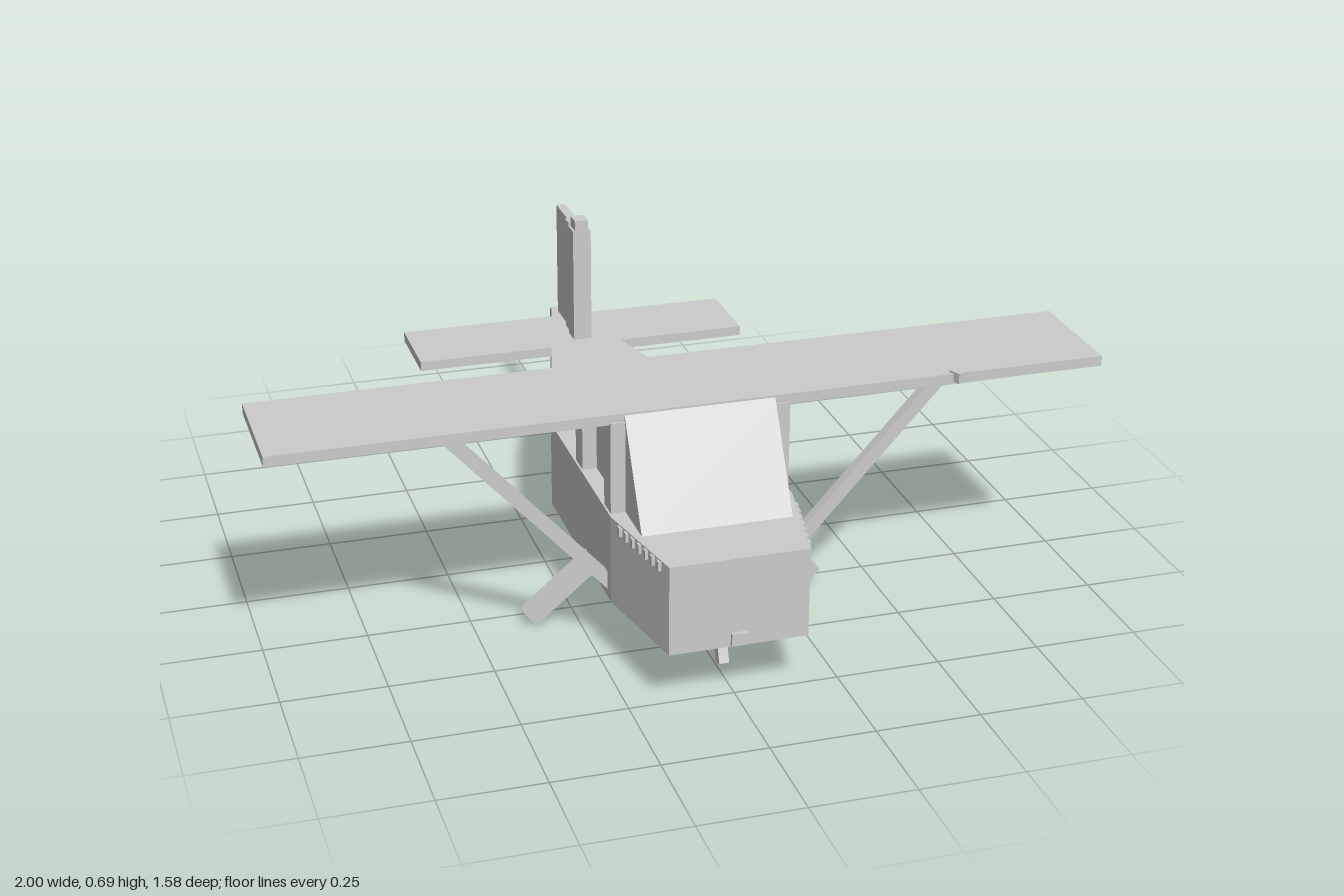
import * as THREE from 'three';
import { ConvexGeometry } from 'three/addons/geometries/ConvexGeometry.js';

export function createModel() {
  const model = new THREE.Group();
  const mat = new THREE.MeshStandardMaterial({ color: 0xcccccc, flatShading: true });

  const add = (name, geometry) => {
    const mesh = new THREE.Mesh(geometry, mat);
    mesh.name = name;
    model.add(mesh);
    return mesh;
  };
  // Box given by its min/max on each axis
  const box = (name, x0, x1, y0, y1, z0, z1) => {
    const mesh = add(name, new THREE.BoxGeometry(x1 - x0, y1 - y0, z1 - z0));
    mesh.position.set((x0 + x1) / 2, (y0 + y1) / 2, (z0 + z1) / 2);
    return mesh;
  };
  // Rectangular bar between two points; its wide axis follows "side"
  const bar = (name, a, b, width, depth, side) => {
    const p = new THREE.Vector3(...a), q = new THREE.Vector3(...b);
    const dir = q.clone().sub(p);
    const mesh = add(name, new THREE.BoxGeometry(width, dir.length(), depth));
    const y = dir.clone().normalize();
    const z = new THREE.Vector3(...side).addScaledVector(y, -y.dot(new THREE.Vector3(...side))).normalize();
    const x = new THREE.Vector3().crossVectors(y, z);
    mesh.quaternion.setFromRotationMatrix(new THREE.Matrix4().makeBasis(x, y, z));
    mesh.position.copy(p).add(q).multiplyScalar(0.5);
    return mesh;
  };

  // Fuselage: plan outline extruded upward
  const half = [[0.165, 0.78], [0.22, 0.5], [0.22, -0.04], [0.022, -0.785]];
  const outline = [...half, ...half.map(([x, z]) => [-x, z]).reverse()];
  const plan = new THREE.Shape(outline.map(([x, z]) => new THREE.Vector2(x, -z)));
  const hull = new THREE.ExtrudeGeometry(plan, { depth: 0.22, bevelEnabled: false });
  hull.rotateX(-Math.PI / 2).translate(0, 0.14, 0);
  add('fuselage', hull);
  box('tailPost', -0.027, 0.027, 0.14, 0.36, -0.79, -0.77);
  box('noseHub', -0.02, 0.02, 0.145, 0.175, 0.77, 0.79);

  // Cabin with sloped windshield and tapering rear window
  const cabin = [];
  for (const s of [-1, 1]) {
    for (const [x, y, z] of [[0.18, 0.355, 0.62], [0.18, 0.6, 0.48], [0.18, 0.58, 0.18],
      [0.18, 0.355, 0.18], [0.11, 0.355, -0.21]]) cabin.push(new THREE.Vector3(s * x, y, z));
  }
  add('cabin', new ConvexGeometry(cabin));

  // Wing and tail surfaces
  box('wing', -1, 1, 0.58, 0.605, 0.18, 0.48);
  box('tailplane', -0.44, 0.44, 0.32, 0.345, -0.76, -0.545);
  box('finFront', -0.024, 0.024, 0.35, 0.665, -0.6, -0.545);
  box('finMiddle', -0.018, 0.018, 0.35, 0.665, -0.65, -0.6);
  box('rudder', -0.012, 0.012, 0.35, 0.665, -0.76, -0.65);
  box('finBeacon', -0.018, 0.018, 0.665, 0.692, -0.59, -0.547);
  const lamp = box('wingLamp', 0.62, 0.65, 0.585, 0.61, 0.46, 0.492);
  lamp.rotation.y = 0.4;

  for (const s of [-1, 1]) {
    const side = s > 0 ? 'left' : 'right';
    const mid = (x0, x1) => (s > 0 ? [x0, x1] : [-x1, -x0]);

    // Window frame posts and upper rail
    box(side + 'FrontPost', ...mid(0.178, 0.215), 0.355, 0.585, 0.43, 0.485);
    box(side + 'DoorPost', ...mid(0.178, 0.215), 0.355, 0.585, 0.18, 0.24);
    box(side + 'WindowRail', ...mid(0.178, 0.215), 0.568, 0.585, 0.18, 0.485);

    // Rear cabin beam following the sloped window
    bar(side + 'RearBeam', [s * 0.192, 0.58, 0.18], [s * 0.115, 0.345, -0.235], 0.035, 0.032, [0, 1, 0]);

    // Wing strut
    bar(side + 'WingStrut', [s * 0.2, 0.16, 0.458], [s * 0.585, 0.585, 0.458], 0.03, 0.027, [0, 0, 1]);

    // Main gear leg
    const foot = s > 0 ? [0.35, 0.03] : [-0.367, 0.018];
    bar(side + 'GearLeg', [s * 0.2, 0.158, 0.295], [...foot, 0.295], 0.044, 0.04, [0, 0, 1]);

    // Cowl louvers along the tapering nose
    for (let i = 0; i < 7; i++) {
      const z = 0.55 + i * 0.031, x = 0.22 - (z - 0.5) * (0.055 / 0.28);
      box(side + 'Louver' + i, ...mid(x - 0.012, x + 0.006), 0.335, 0.357, z - 0.008, z + 0.008);
    }
  }

  // Nose gear leg
  bar('noseGearLeg', [0, 0.16, 0.617], [0, 0.033, 0.665], 0.024, 0.026, [0, 0, 1]);

  return model;
}
